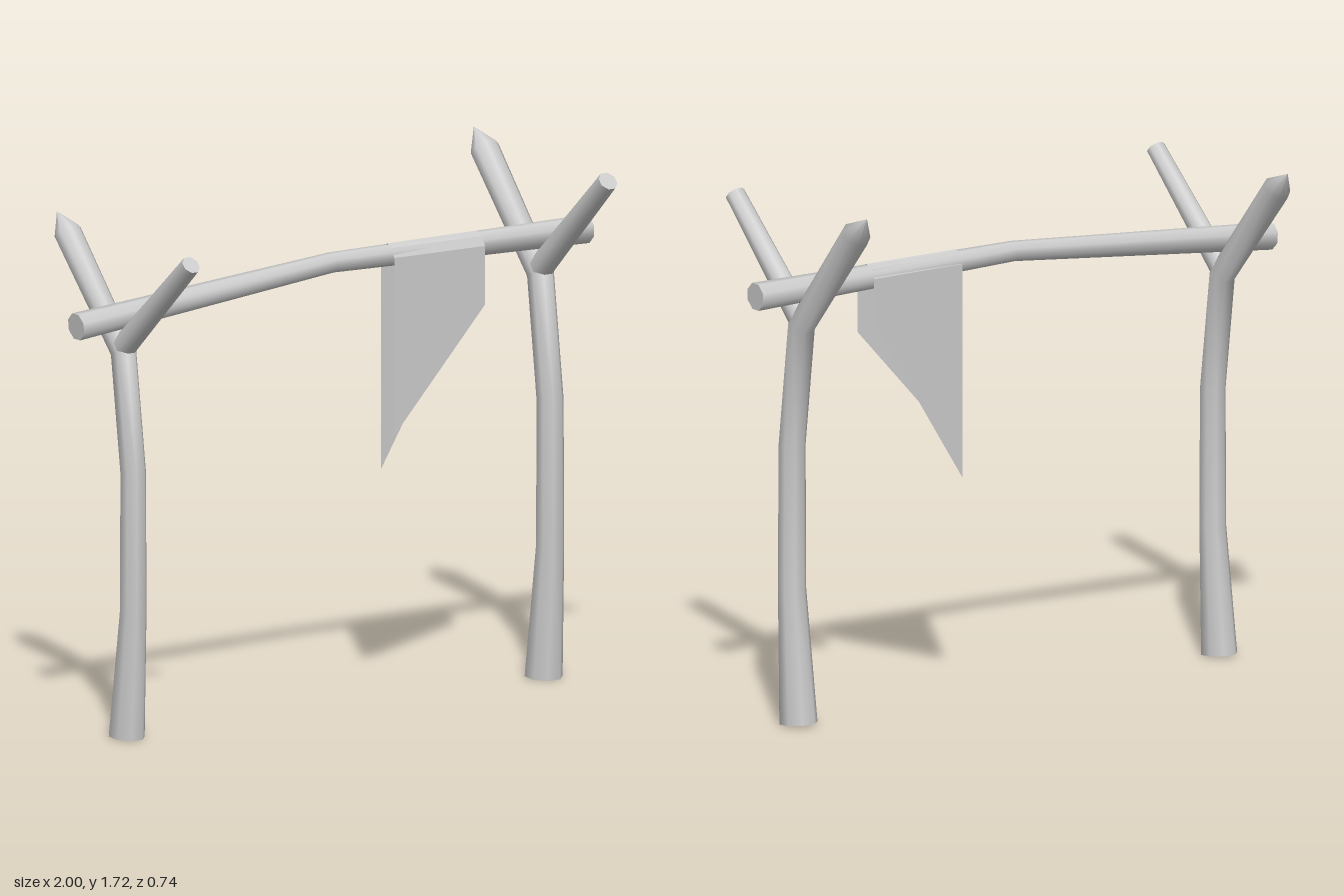
import * as THREE from 'three';

const SIDES = 8;

// Sweeps a round section along a path lying in the plane across `side`.
// Each station is [point, radius]; the section is mitred at the bends.
function limb(name, stations, side, material, capStart, capEnd) {
  const pos = [], idx = [];
  const pts = stations.map(s => new THREE.Vector3(...s[0]));
  const last = pts.length - 1;
  const dirs = pts.slice(1).map((p, i) => p.clone().sub(pts[i]).normalize());
  const rings = pts.map((p, i) => {
    const a = dirs[Math.max(i - 1, 0)], b = dirs[Math.min(i, last - 1)];
    const t = a.clone().add(b).normalize();
    const n = t.clone().cross(side);
    const r = stations[i][1], miter = r / t.dot(a);
    return Array.from({ length: SIDES }, (_, j) => {
      const ang = (j + 0.5) / SIDES * Math.PI * 2;
      return p.clone().addScaledVector(side, Math.cos(ang) * r).addScaledVector(n, Math.sin(ang) * miter);
    });
  });
  const add = v => pos.push(v.x, v.y, v.z) / 3 - 1;
  rings.forEach(ring => ring.forEach(add));
  for (let i = 0; i < last; i++) {
    for (let j = 0; j < SIDES; j++) {
      const k = (j + 1) % SIDES;
      const a = i * SIDES + j, b = i * SIDES + k, c = a + SIDES, d = b + SIDES;
      idx.push(a, b, c, b, d, c);
    }
  }
  // Flat ends with their own corners so the rim stays sharp
  const cap = (i, flip) => {
    const ids = rings[i].map(add);
    for (let j = 1; j < SIDES - 1; j++) {
      if (flip) idx.push(ids[0], ids[j + 1], ids[j]);
      else idx.push(ids[0], ids[j], ids[j + 1]);
    }
  };
  if (capStart) cap(0, true);
  if (capEnd) cap(last, false);
  const geo = new THREE.BufferGeometry();
  geo.setAttribute('position', new THREE.Float32BufferAttribute(pos, 3));
  geo.setIndex(idx);
  geo.computeVertexNormals();
  const mesh = new THREE.Mesh(geo, material);
  mesh.name = name;
  return mesh;
}

// Forked post: crooked trunk running into a pointed rear arm, plus a blunt front arm
function forkedPost(name, x, scaleX, scaleY, wood) {
  const post = new THREE.Group();
  post.name = name;
  const side = new THREE.Vector3(1, 0, 0);
  post.add(limb('trunkAndRearArm', [
    [[0, 0, 0.005], 0.062],
    [[0, 0.43, 0.04], 0.046],
    [[0, 0.9, 0.04], 0.044],
    [[0, 1.3, -0.012], 0.044],
    [[0, 1.655, -0.313], 0.048],
    [[0, 1.715, -0.37], 0.001],
  ], side, wood, false, false));
  post.add(limb('frontArm', [
    [[0, 1.315, -0.015], 0.042],
    [[0, 1.658, 0.352], 0.033],
  ], side, wood, false, true));
  post.position.x = x;
  post.scale.set(scaleX, scaleY, 1);
  return post;
}

// Ragged cloth folded over the bar, as a strip between two cross-sections
function hangingCloth(material) {
  const section = (x, front, back, zf, zb, top) => [
    [x, front, zf], [x, 1.425, zf], [x, top - 0.012, zf - 0.015], [x, top, -0.018],
    [x, top - 0.012, zb + 0.015], [x, 1.425, zb], [x, back, zb],
  ];
  const a = section(0.22, 0.85, 0.73, 0.018, -0.054, 1.467);
  const b = section(0.567, 1.235, 1.28, 0.03, -0.06, 1.467);
  const pos = [], idx = [];
  a.forEach((p, i) => pos.push(...p, ...b[i]));
  for (let i = 0; i < a.length - 1; i++) {
    const k = i * 2;
    idx.push(k, k + 1, k + 2, k + 1, k + 3, k + 2);
  }
  const geo = new THREE.BufferGeometry();
  geo.setAttribute('position', new THREE.Float32BufferAttribute(pos, 3));
  geo.setIndex(idx);
  const flat = geo.toNonIndexed();
  flat.computeVertexNormals();
  const mesh = new THREE.Mesh(flat, material);
  mesh.name = 'hangingCloth';
  return mesh;
}

export function createModel() {
  const model = new THREE.Group();
  model.name = 'forkedPostRack';
  const grey = new THREE.MeshStandardMaterial({ color: 0xcccccc, side: THREE.DoubleSide });
  grey.name = 'plainGrey';

  model.add(forkedPost('rightPost', -0.82, 0.93, 0.954, grey));
  model.add(forkedPost('leftPost', 0.815, 1, 1, grey));

  // Crossbar resting in the forks, thinner and bent at the middle
  model.add(limb('crossbar', [
    [[-1, 1.342, -0.02], 0.045],
    [[0, 1.431, -0.02], 0.033],
    [[1, 1.42, -0.02], 0.046],
  ], new THREE.Vector3(0, 0, 1), grey, true, true));

  model.add(hangingCloth(grey));
  return model;
}
